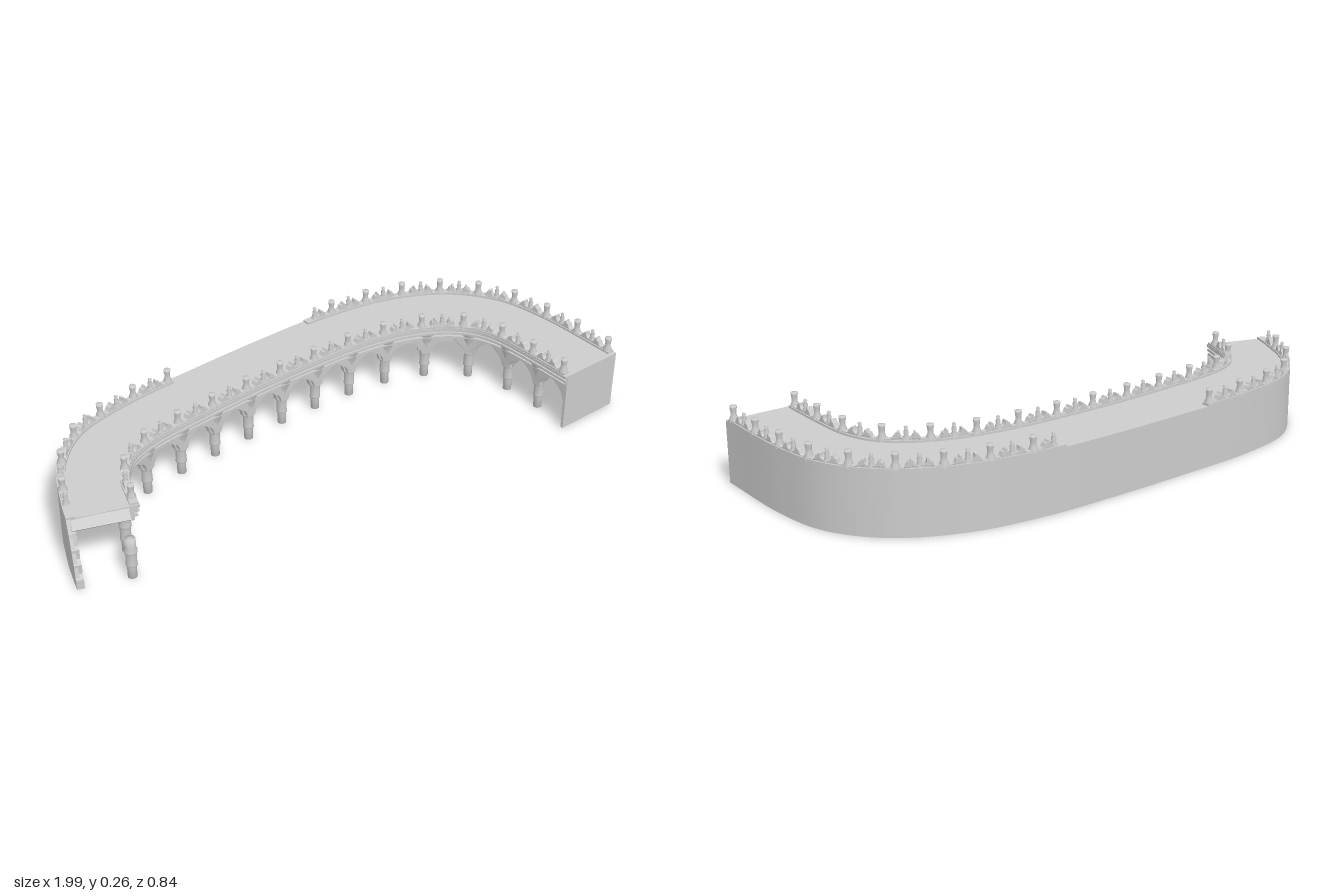
import * as THREE from 'three';
import { mergeGeometries, toCreasedNormals } from 'three/addons/utils/BufferGeometryUtils.js';

// Plan curves [x, z], running from the ruined left end to the closed right end
const plan = (pts) => new THREE.CatmullRomCurve3(pts.map(([x, z]) => new THREE.Vector3(x, 0, z)));
const outer = plan([[-0.997, 0.1], [-0.945, -0.04], [-0.85, -0.22], [-0.71, -0.34], [-0.5, -0.392], [-0.2, -0.411],
  [0.1, -0.419], [0.36, -0.414], [0.62, -0.37], [0.83, -0.26], [0.95, -0.1], [0.99, 0.09], [0.995, 0.418]]);
const inner = plan([[-0.765, 0.1], [-0.715, -0.03], [-0.655, -0.1], [-0.56, -0.142], [-0.3, -0.172], [0, -0.186],
  [0.3, -0.179], [0.48, -0.152], [0.62, -0.095], [0.71, -0.015], [0.748, 0.08], [0.757, 0.2], [0.757, 0.418]]);
const TOP = 0.21;

// Point on a curve at length s, shifted z toward the courtyard side
function place(curve, s, y, z) {
  const u = THREE.MathUtils.clamp(s / curve.getLength(), 0, 1);
  const p = curve.getPointAt(u), t = curve.getTangentAt(u);
  return new THREE.Vector3(p.x - t.z * z, y, p.z + t.x * z);
}

// Length along a curve where it passes a given x
function lengthAtX(curve, x) {
  let s = 0;
  while (place(curve, s, 0, 0).x < x) s += 0.005;
  return s;
}

// Bend a geometry whose x axis is the length along the curve
function bend(geo, curve) {
  const pos = geo.attributes.position;
  for (let i = 0; i < pos.count; i++) {
    const v = place(curve, pos.getX(i), pos.getY(i), pos.getZ(i));
    pos.setXYZ(i, v.x, v.y, v.z);
  }
  geo.computeVertexNormals();
  return geo;
}

// Long strip along a curve between two heights and two offsets
function strip(s0, s1, y0, y1, z0, z1, rows = 1) {
  return new THREE.BoxGeometry(s1 - s0, y1 - y0, z1 - z0, Math.ceil((s1 - s0) * 40), rows, 1)
    .translate((s0 + s1) / 2, (y0 + y1) / 2, (z0 + z1) / 2);
}

const lathe = (pts, sides) => new THREE.LatheGeometry(pts.map(([r, y]) => new THREE.Vector2(r, y)), sides);

export function createModel() {
  const model = new THREE.Group();
  const stone = new THREE.MeshStandardMaterial({ color: 0xcccccc });
  stone.name = 'grey stone';
  stone.side = THREE.DoubleSide;
  const add = (name, geo) => {
    const mesh = new THREE.Mesh(geo, stone);
    mesh.name = name;
    model.add(mesh);
    return mesh;
  };
  const LO = outer.getLength(), LI = inner.getLength();

  // Back wall, its left end broken off in a curve
  const wall = strip(0, LO, 0, TOP, 0, 0.012, 6);
  const wp = wall.attributes.position;
  for (let i = 0; i < wp.count; i++) {
    const s = wp.getX(i);
    wp.setX(i, s + 0.075 * (wp.getY(i) / TOP) ** 1.5 * Math.max(0, 1 - s / 0.25));
  }
  add('backWall', bend(wall, outer));

  // Ragged masonry left standing at the broken end
  const rubble = new THREE.Shape([[0, 0], [0.1, 0], [0.1, 0.19], [0.075, 0.19], [0.06, 0.165], [0.052, 0.168],
    [0.045, 0.13], [0.03, 0.125], [0.032, 0.09], [0.014, 0.08], [0.016, 0.045], [0, 0.035]]
    .map(([x, y]) => new THREE.Vector2(x, y)));
  add('brokenMasonry', bend(new THREE.ExtrudeGeometry(rubble, { depth: 0.024, bevelEnabled: false }), outer));

  // Walkway slab between the two curves
  const edge = [];
  for (let i = 0; i <= 70; i++) edge.push(place(outer, 0.075 + (LO - 0.075) * i / 70, 0, 0.002));
  for (let i = 70; i >= 0; i--) edge.push(place(inner, LI * i / 70, 0, 0));
  const deck = new THREE.ExtrudeGeometry(new THREE.Shape(edge.map((p) => new THREE.Vector2(p.x, -p.z))),
    { depth: 0.025, bevelEnabled: false });
  add('walkway', toCreasedNormals(deck.rotateX(-Math.PI / 2).translate(0, TOP - 0.025, 0), 0.6));

  // Closed right end
  add('endWall', new THREE.BoxGeometry(0.238, TOP, 0.01).translate(0.876, TOP / 2, 0.414));

  // Cracked slab tilting down at the ruined left end
  const slab = add('fallenSlab', new THREE.BoxGeometry(0.18, 0.014, 0.036));
  slab.position.set(-0.878, 0.19, 0.07);
  slab.rotation.set(0.8, -0.36, 0, 'YXZ');

  // Cornice bands above the arches
  add('cornice', mergeGeometries([[0.168, 0.175, -0.012, 0.002], [0.184, 0.193, -0.01, 0.006], [0.2, TOP, -0.01, 0.008]]
    .map(([y0, y1, z0, z1]) => bend(strip(0, LI, y0, y1, z0, z1), inner))));

  // Pointed arches in two stepped orders, one pair per bay; the last dies into the end wall
  const w = 0.145, first = lengthAtX(inner, -0.115) % w;
  const bays = Math.ceil((LI - first) / w);
  const arches = [];
  for (let i = 0; i < bays; i++) {
    for (const [a, apex, z0, depth] of [[0.056, 0.16, -0.026, 0.016], [0.05, 0.152, -0.044, 0.018]]) {
      const arch = new THREE.Shape();
      arch.moveTo(-w / 2, 0.1);
      arch.lineTo(-a, 0.1);
      arch.quadraticCurveTo(-a, 0.135, 0, apex);
      arch.quadraticCurveTo(a, 0.135, a, 0.1);
      arch.lineTo(w / 2, 0.1);
      arch.lineTo(w / 2, 0.188);
      arch.lineTo(0, 0.188);
      arch.lineTo(-w / 2, 0.188);
      const g = new THREE.ExtrudeGeometry(arch, { depth, bevelEnabled: false, curveSegments: 8 });
      arches.push(toCreasedNormals(bend(g.translate(first + (i + 0.5) * w, 0, z0), inner), 0.6));
    }
  }
  // Short lintel from the ruined end to the first column
  arches.push(bend(strip(0, first, 0.155, 0.188, -0.044, -0.01), inner).toNonIndexed());
  add('arches', mergeGeometries(arches));

  // Columns with a narrow foot, collars and a flaring vault springer
  const shaft = [[0, 0], [0.015, 0], [0.015, 0.042], [0.0185, 0.045], [0.0185, 0.053],
    [0.0175, 0.056], [0.0175, 0.09], [0.021, 0.095], [0.021, 0.102]];
  const column = lathe([...shaft, [0.019, 0.115], [0.022, 0.14], [0.029, 0.162], [0.038, 0.186]], 14);
  const columns = [];
  for (let s = first; s < LI - 0.05; s += w) {
    const p = place(inner, s, 0, -0.03);
    columns.push(column.clone().translate(p.x, 0, p.z));
  }
  add('columns', mergeGeometries(columns));

  // Lone column standing off the ruined end
  add('loneColumn', lathe([...shaft, [0.017, 0.115], [0.018, 0.145], [0, 0.145]], 14).translate(-0.83, 0, 0.15));

  // Parapet: goblet posts alternate with slim finials, low curled crests between
  const post = lathe([[0.016, 0.21], [0.015, 0.221], [0.01, 0.233], [0.0095, 0.245], [0.0115, 0.257],
    [0.012, 0.264], [0, 0.264]], 10);
  const finial = lathe([[0.014, 0.21], [0.011, 0.223], [0.007, 0.232], [0.0085, 0.243], [0.0045, 0.25],
    [0.007, 0.257], [0, 0.263]], 8);
  const step = 0.0725;
  function parapet(name, curve, s0, s1, z) {
    const parts = [bend(strip(s0, s1, 0.208, 0.217, z - 0.014, z + 0.014), curve).toNonIndexed()];
    const n = Math.floor((s1 - s0 - 0.03) / step);
    for (let i = 0; i <= n; i++) {
      // Spaced back from the right end of each run
      const s = s1 - 0.016 - i * step;
      const p = place(curve, s, 0, z);
      parts.push((i % 2 ? finial : post).clone().translate(p.x, 0, p.z).toNonIndexed());
      if (i === n) break;
      // Crest curls up toward the finial beside it
      const d = i % 2 ? 1 : -1, h = step / 2;
      const crest = new THREE.Shape();
      crest.moveTo(-h * d, 0.214);
      crest.lineTo(-h * d, 0.228);
      crest.quadraticCurveTo(-0.014 * d, 0.214, -0.006 * d, 0.222);
      crest.lineTo(0, 0.234);
      crest.lineTo(0.006 * d, 0.236);
      crest.lineTo(0.01 * d, 0.243);
      crest.lineTo(0.015 * d, 0.242);
      crest.quadraticCurveTo(0.016 * d, 0.22, h * d, 0.224);
      crest.lineTo(h * d, 0.214);
      const g = new THREE.ExtrudeGeometry(crest, { depth: 0.02, bevelEnabled: false, curveSegments: 5 });
      parts.push(bend(g.translate(s - h, 0, z - 0.01), curve));
    }
    add(name, mergeGeometries(parts));
  }
  parapet('innerParapet', inner, 0.005, LI - 0.012, -0.008);
  parapet('outerParapetLeft', outer, 0.075, lengthAtX(outer, -0.3), 0.014);
  parapet('outerParapetRight', outer, lengthAtX(outer, 0.285), LO - 0.012, 0.014);
  return model;
}
